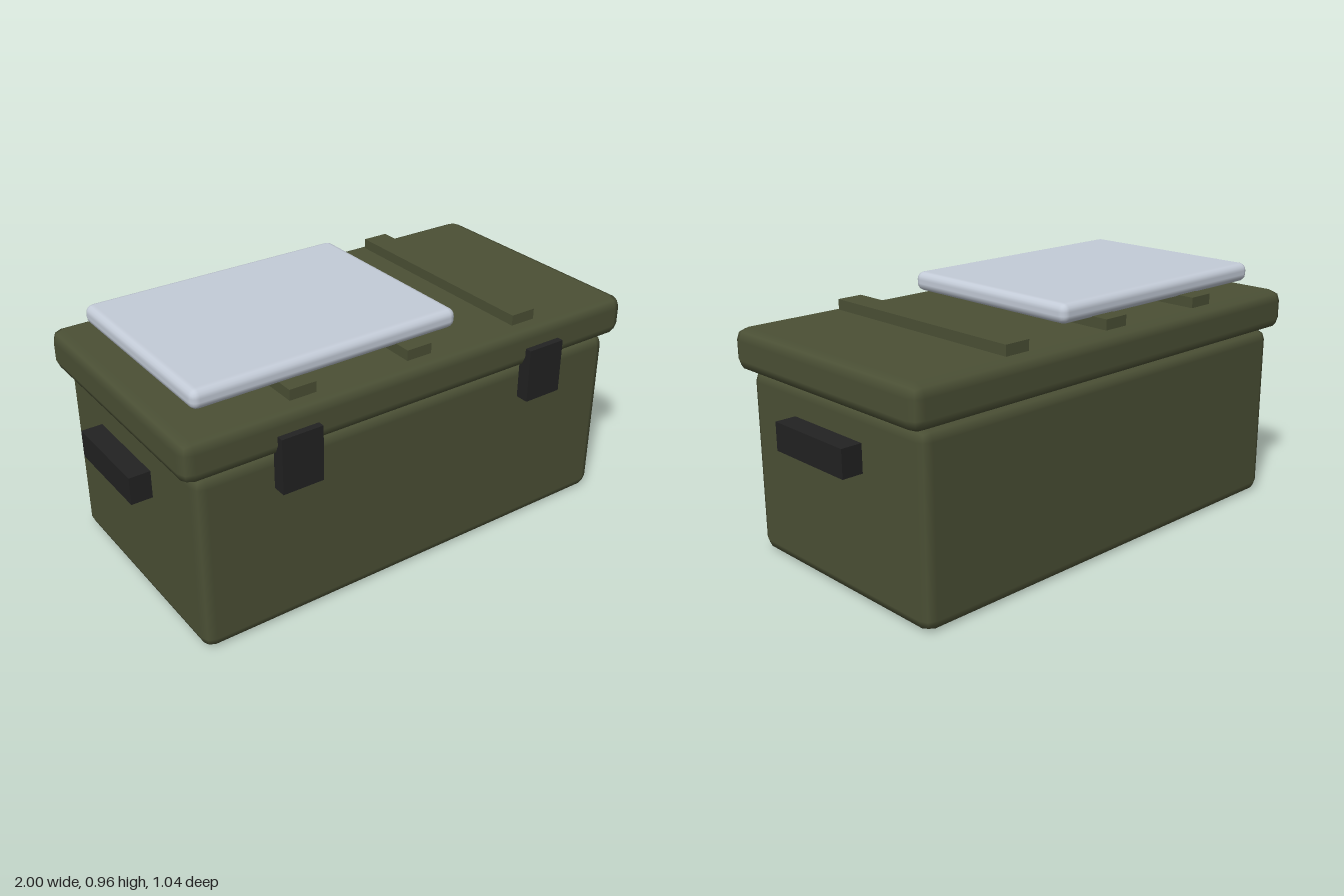
import * as THREE from 'three';
import { RoundedBoxGeometry } from 'three/addons/geometries/RoundedBoxGeometry.js';

export function createModel() {
  const group = new THREE.Group();
  const material = (name, color) => {
    const m = new THREE.MeshStandardMaterial({ color });
    m.name = name;
    return m;
  };
  const olive = material('olive green', 0x4b5035);
  const black = material('black', 0x222222);
  const silver = material('pale silver', 0xc4ccd8);

  // Places a box between two corners; a radius rounds its edges
  const box = (name, mat, [x0, x1], [y0, y1], [z0, z1], radius = 0, segments = 1) => {
    const size = [x1 - x0, y1 - y0, z1 - z0];
    const geometry = radius
      ? new RoundedBoxGeometry(...size, segments, radius)
      : new THREE.BoxGeometry(...size);
    const mesh = new THREE.Mesh(geometry, mat);
    mesh.name = name;
    mesh.position.set((x0 + x1) / 2, (y0 + y1) / 2, (z0 + z1) / 2);
    group.add(mesh);
  };

  // Case body and overhanging lid
  box('body', olive, [-0.907, 0.907], [0, 0.696], [-0.493, 0.467], 0.043);
  box('lid', olive, [-0.957, 0.957], [0.696, 0.855], [-0.52, 0.494], 0.045);

  // Raised ribs across the lid
  for (const x of [-0.48, 0, 0.48]) {
    box('lidRib', olive, [x - 0.052, x + 0.052], [0.84, 0.895], [-0.467, 0.44]);
  }

  // Flat panel resting on two of the ribs
  box('topPanel', silver, [-0.855, 0.21], [0.888, 0.962], [-0.413, 0.387], 0.03, 2);

  // Front latches and side handles, mirrored
  for (const s of [-1, 1]) {
    const lx = s * 0.535;
    const hx = s * 0.96;
    box('latch', black, [lx - 0.08, lx + 0.08], [0.565, 0.775], [0.467, 0.52]);
    box('handle', black, [hx - 0.04, hx + 0.04], [0.485, 0.59], [-0.2, 0.175]);
  }
  return group;
}
